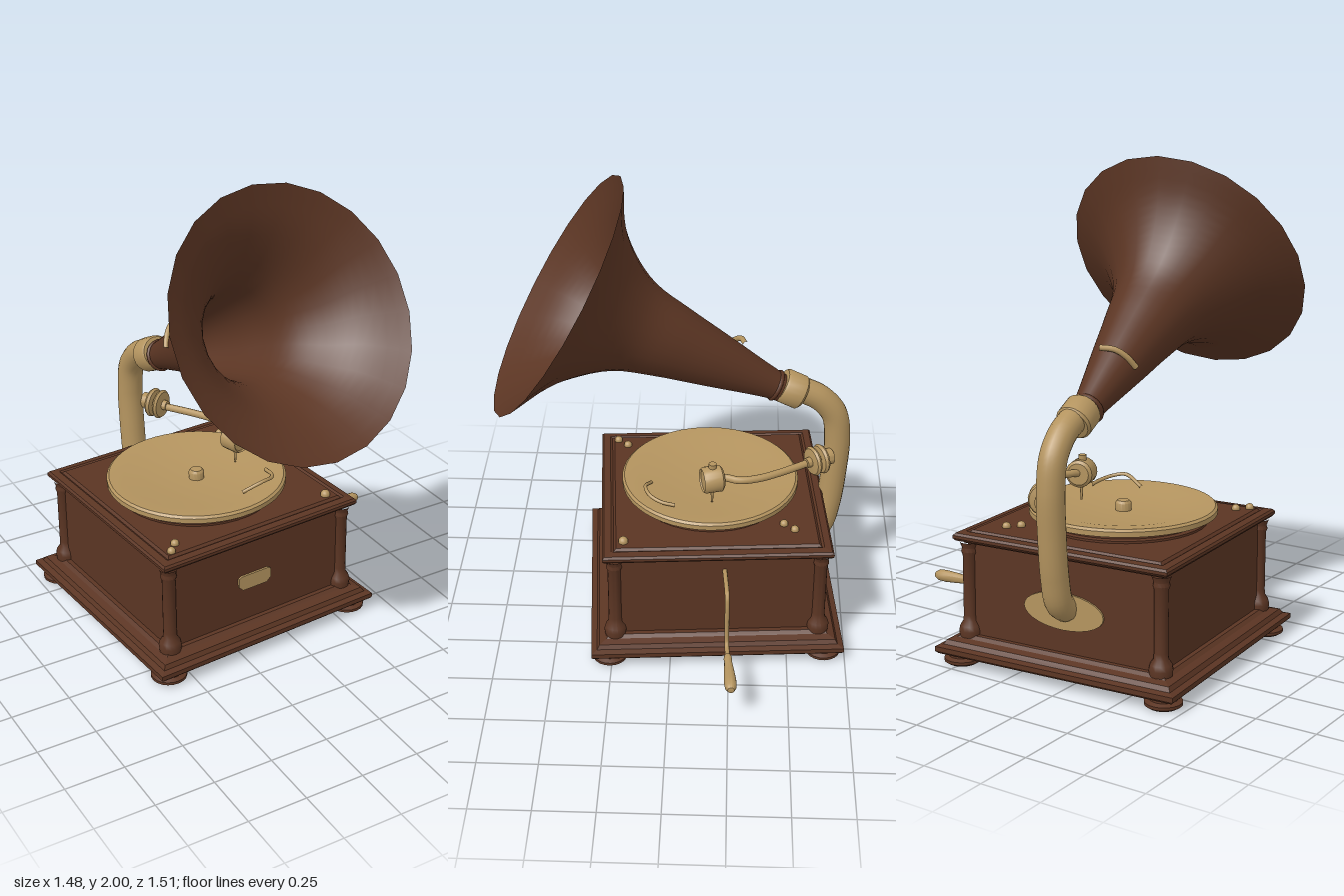
import * as THREE from 'three';
import { toCreasedNormals } from 'three/addons/utils/BufferGeometryUtils.js';

const V = (x, y, z) => new THREE.Vector3(x, y, z);

export function createModel() {
  const wood = new THREE.MeshStandardMaterial({ color: 0x5b3523 });
  wood.name = 'darkWood';
  const hornBrown = new THREE.MeshStandardMaterial({ color: 0x5b3523, side: THREE.DoubleSide });
  hornBrown.name = 'hornBrown';
  const brass = new THREE.MeshStandardMaterial({ color: 0xb4945f });
  brass.name = 'brass';

  const model = new THREE.Group();
  model.name = 'gramophone';
  // The cabinet stands slightly turned
  const cabinet = new THREE.Group();
  cabinet.name = 'cabinet';
  cabinet.position.set(-0.16, 0, -0.165);
  cabinet.rotation.y = 0.074;
  model.add(cabinet);

  const add = (parent, name, geo, mat, x = 0, y = 0, z = 0) => {
    const mesh = new THREE.Mesh(geo, mat);
    mesh.name = name;
    mesh.position.set(x, y, z);
    parent.add(mesh);
    return mesh;
  };
  const points = (p) => p.map(([r, y]) => new THREE.Vector2(r, y));
  const lathe = (p, sides = 20) => toCreasedNormals(new THREE.LatheGeometry(points(p), sides), 0.7);
  // Square moulding: profile of half-widths and heights
  const square = (p) => {
    const g = new THREE.LatheGeometry(points(p.map(([r, y]) => [r * Math.SQRT2, y])), 4);
    const flat = g.rotateY(Math.PI / 4).toNonIndexed();
    flat.computeVertexNormals();
    return flat;
  };
  const tube = (pts, r, seg = 24, sides = 10) =>
    new THREE.TubeGeometry(new THREE.CatmullRomCurve3(pts), seg, r, sides);
  const aim = (mesh, dir) => mesh.quaternion.setFromUnitVectors(V(0, 1, 0), dir.clone().normalize());

  // Open-bottomed cabinet
  add(cabinet, 'basePlinth', square([[0.41, 0.045], [0.53, 0.045], [0.54, 0.055], [0.54, 0.075], [0.515, 0.082],
    [0.505, 0.1], [0.475, 0.108], [0.46, 0.12], [0.41, 0.12], [0.41, 0.045]]), wood);
  add(cabinet, 'cabinetWalls', square([[0.415, 0.1], [0.44, 0.1], [0.44, 0.505], [0.415, 0.505], [0.415, 0.1]]), wood);
  add(cabinet, 'lid', square([[0, 0.5], [0.45, 0.5], [0.455, 0.508], [0.475, 0.512], [0.483, 0.522], [0.483, 0.534],
    [0.475, 0.543], [0.445, 0.547], [0.435, 0.541], [0.425, 0.551], [0, 0.551]]), wood);
  for (const sx of [-1, 1]) for (const sz of [-1, 1]) {
    add(cabinet, 'foot', lathe([[0, 0], [0.06, 0], [0.075, 0.01], [0.075, 0.022], [0.055, 0.03], [0.055, 0.05]]),
      wood, sx * 0.46, 0, sz * 0.46);
    add(cabinet, 'cornerColumn', lathe([[0.045, 0.11], [0.048, 0.135], [0.043, 0.155], [0.03, 0.175], [0.028, 0.2],
      [0.028, 0.45], [0.034, 0.465], [0.03, 0.48], [0.04, 0.505]], 14), wood, sx * 0.435, 0, sz * 0.435);
  }

  // Front plaque
  const plaque = new THREE.Shape(points([[-0.08, -0.015], [-0.06, -0.034], [0.06, -0.034], [0.08, -0.015],
    [0.08, 0.026], [0.065, 0.034], [-0.065, 0.034], [-0.08, 0.026]]));
  add(cabinet, 'frontPlaque', new THREE.ExtrudeGeometry(plaque, { depth: 0.009, bevelEnabled: false }),
    brass, -0.02, 0.305, 0.44);

  // Winding crank
  add(cabinet, 'crankRod', tube([V(0.43, 0.433, -0.03), V(0.56, 0.433, -0.03), V(0.598, 0.42, -0.03), V(0.61, 0.38, -0.03),
    V(0.612, 0.24, -0.03), V(0.625, 0.19, -0.03), V(0.665, 0.176, -0.03), V(0.72, 0.176, -0.03)], 0.01, 40, 8), brass);
  const handle = add(cabinet, 'crankHandle', lathe([[0, 0], [0.014, 0], [0.018, 0.02], [0.016, 0.035], [0.022, 0.1],
    [0.026, 0.16], [0.024, 0.195], [0.014, 0.213], [0, 0.217]], 14), brass, 0.685, 0.176, -0.03);
  handle.rotation.z = -Math.PI / 2;

  // Rear pipe with its flange and collar
  const flange = add(cabinet, 'pipeFlange', new THREE.CylinderGeometry(0.18, 0.18, 0.012, 28), brass, -0.01, 0.29, -0.442);
  flange.rotation.x = Math.PI / 2;
  flange.scale.z = 0.42;
  add(cabinet, 'rearPipe', tube([V(-0.015, 0.3, -0.43), V(-0.015, 0.34, -0.485), V(-0.015, 0.45, -0.515),
    V(-0.015, 0.62, -0.533), V(-0.015, 0.8, -0.54), V(-0.015, 0.92, -0.52), V(-0.015, 0.995, -0.46),
    V(-0.015, 1.03, -0.4), V(-0.015, 1.06, -0.32)], 0.056, 48, 18), brass);
  const collar = add(cabinet, 'pipeCollar', lathe([[0, -0.05], [0.066, -0.05], [0.075, -0.04], [0.075, 0.04],
    [0.068, 0.05], [0, 0.05]]), brass, -0.015, 1.045, -0.335);
  aim(collar, V(0, 0.45, 0.89));

  // Horn: rings strung between an upper and a lower outline, [z, y]
  const upper = [[-0.315, 1.105], [-0.285, 1.125], [-0.055, 1.31], [0.095, 1.43], [0.235, 1.55], [0.315, 1.68], [0.36, 1.83], [0.365, 2.0]];
  const lower = [[-0.265, 0.995], [-0.235, 1.01], [0.065, 1.1], [0.265, 1.16], [0.445, 1.2], [0.615, 1.185], [0.745, 1.15], [0.925, 1.06]];
  const outline = (p) => new THREE.CatmullRomCurve3(p.map(([z, y]) => V(0, y, z)));
  const top = outline(upper), bottom = outline(lower), rings = 28, sides = 22;
  const hornPos = [], hornIdx = [];
  for (let i = 0; i <= rings; i++) {
    const a = top.getPoint(i / rings), b = bottom.getPoint(i / rings);
    const mid = a.clone().add(b).multiplyScalar(0.5), half = a.clone().sub(mid), r = half.length();
    for (let j = 0; j < sides; j++) {
      const t = (j / sides) * Math.PI * 2;
      const p = mid.clone().addScaledVector(half, Math.cos(t));
      hornPos.push(-0.015 + (mid.z + 0.3) * 0.04 + r * 0.98 * Math.sin(t), p.y, p.z);
      if (i < rings) {
        const k = i * sides + j, l = i * sides + (j + 1) % sides;
        hornIdx.push(k, l, k + sides, l, l + sides, k + sides);
      }
    }
  }
  const hornGeo = new THREE.BufferGeometry();
  hornGeo.setAttribute('position', new THREE.Float32BufferAttribute(hornPos, 3));
  hornGeo.setIndex(hornIdx);
  hornGeo.computeVertexNormals();
  add(cabinet, 'horn', hornGeo, hornBrown);
  const ring = add(cabinet, 'hornBaseRing', new THREE.TorusGeometry(0.06, 0.01, 8, 20), wood, -0.015, 1.064, -0.265);
  ring.rotation.x = -0.45;
  add(cabinet, 'hornBand', tube([V(-0.116, 1.2, -0.06), V(-0.09, 1.245, -0.09), V(-0.05, 1.275, -0.115),
    V(0.01, 1.28, -0.13)], 0.012, 12, 8), brass);

  // Turntable
  const deck = new THREE.Group();
  deck.name = 'turntable';
  deck.position.set(-0.18, 0, -0.155);
  model.add(deck);
  add(deck, 'turntableBase', lathe([[0.345, 0.55], [0.345, 0.56], [0.33, 0.565], [0.33, 0.58], [0, 0.58]], 40), wood);
  add(deck, 'platter', lathe([[0, 0.578], [0.34, 0.578], [0.385, 0.588], [0.385, 0.609], [0.375, 0.618], [0.31, 0.613],
    [0.23, 0.598], [0, 0.59]], 48), brass);
  add(deck, 'spindle', lathe([[0.033, 0.585], [0.033, 0.622], [0.025, 0.632], [0, 0.634]], 16), brass);

  // Small knobs on the lid
  for (const [x, z, r] of [[0.1, -0.475, 0.018], [0.14, -0.52, 0.018], [-0.53, 0.27, 0.018], [-0.49, 0.225, 0.018], [0.25, 0.2, 0.021]])
    add(model, 'lidKnob', new THREE.SphereGeometry(r, 14, 10), brass, x, 0.556, z);

  // Tone arm joint, arm and sound box
  const joint = add(model, 'toneArmJoint', lathe([[0, -0.07], [0.035, -0.07], [0.035, -0.035], [0.06, -0.03], [0.066, -0.02],
    [0.06, -0.008], [0.035, -0.004], [0.035, 0.006], [0.06, 0.01], [0.066, 0.02], [0.058, 0.03], [0.022, 0.034],
    [0.022, 0.055], [0, 0.055]]), brass, -0.125, 0.735, -0.615);
  aim(joint, V(0.5, 0, 0.86));
  add(model, 'toneArm', tube([V(-0.13, 0.73, -0.61), V(-0.09, 0.73, -0.55), V(-0.02, 0.73, -0.44), V(0.02, 0.73, -0.36),
    V(0.037, 0.73, -0.28), V(0.02, 0.73, -0.23), V(0.01, 0.725, -0.19)], 0.016), brass);
  const soundBox = add(model, 'soundBox', lathe([[0, -0.045], [0.045, -0.045], [0.057, -0.035], [0.057, 0.035], [0.05, 0.045],
    [0.045, 0.038], [0, 0.035]]), brass, 0.02, 0.722, -0.167);
  aim(soundBox, V(0.28, 0, 0.96));
  add(model, 'soundBoxKnob', new THREE.CylinderGeometry(0.017, 0.017, 0.03, 12), brass, 0.015, 0.782, -0.167);
  add(model, 'needle', new THREE.CylinderGeometry(0.008, 0.004, 0.07, 8), brass, 0.02, 0.64, -0.167);
  add(model, 'brakeLever', tube([V(0.08, 0.625, -0.01), V(0.072, 0.635, 0.05), V(0.04, 0.648, 0.1), V(-0.01, 0.655, 0.12),
    V(-0.1, 0.618, 0.1)], 0.008, 20, 8), brass);
  return model;
}
